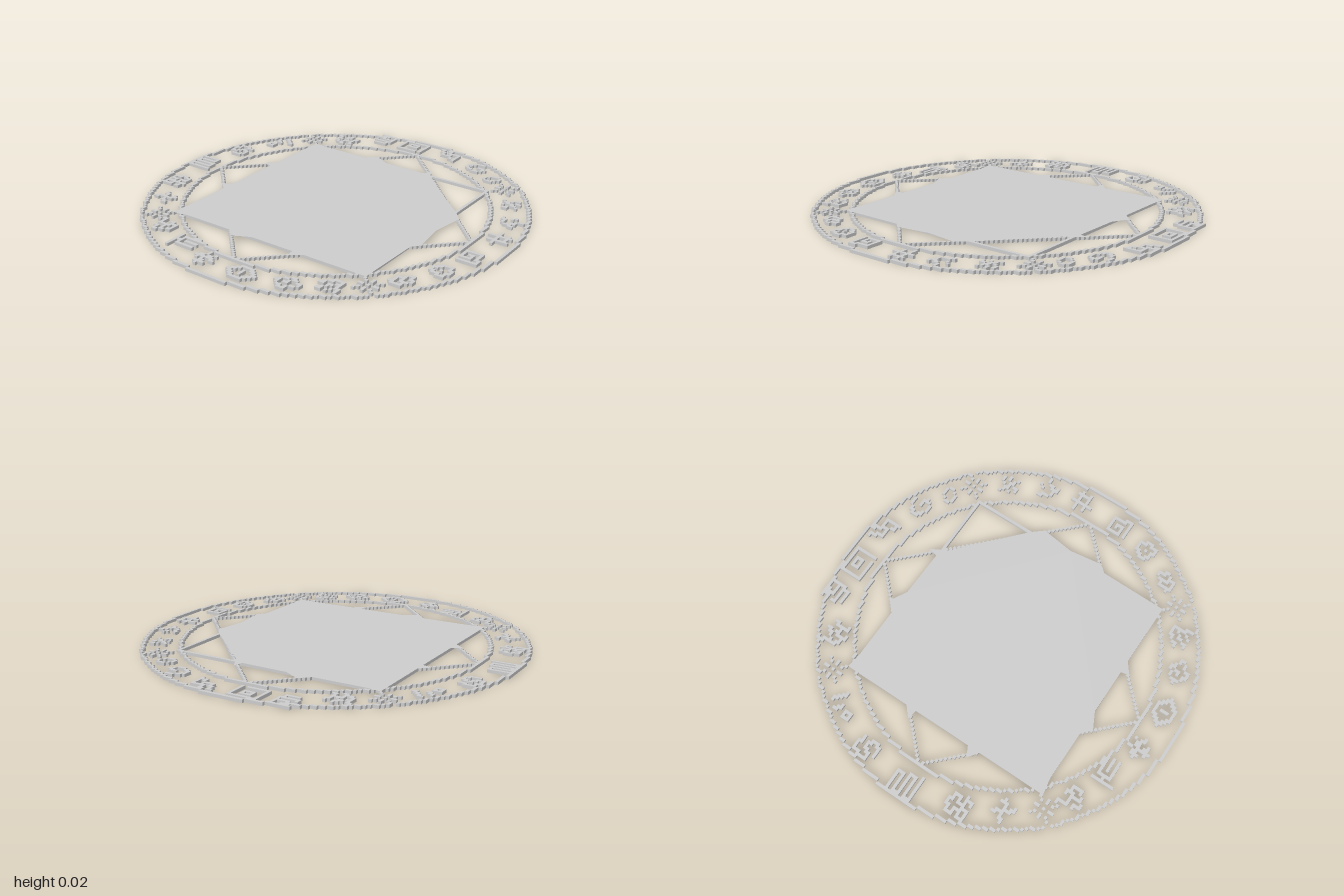
import * as THREE from 'three';
import { mergeGeometries } from 'three/addons/utils/BufferGeometryUtils.js';

const S = 0.016; // edge of one cell; the disc is 125 cells wide
const grey = new THREE.MeshStandardMaterial({ color: 0xcccccc, flatShading: true });

// One mesh of unit cells; duplicates are dropped
function cellMesh(name, cells) {
  const unique = new Map(cells.map(c => [c.join(), c]));
  const boxes = [...unique.values()].map(([i, k]) =>
    new THREE.BoxGeometry(S, S, S).translate(i * S, S / 2, k * S));
  const mesh = new THREE.Mesh(mergeGeometries(boxes), grey);
  mesh.name = name;
  return mesh;
}

// Stepped circle of cells, one cell wide
function circle(r) {
  const cells = [];
  for (let a = 0; a <= r * 0.7072; a++) {
    const b = Math.round(Math.sqrt(r * r - a * a));
    for (const s of [-1, 1]) for (const t of [-1, 1]) {
      cells.push([s * a, t * b], [s * b, t * a]);
    }
  }
  return cells;
}

// Four straight sides of the axis-aligned and of the diagonal square
function square(r) {
  const cells = [];
  for (let a = -r; a <= r; a++) cells.push([a, r], [a, -r], [r, a], [-r, a]);
  return cells;
}
function diamond(r) {
  const cells = [];
  for (let a = -r; a <= r; a++) {
    const b = r - Math.abs(a);
    cells.push([a, b], [a, -b]);
  }
  return cells;
}

// Abstract ornaments: centre cell, then rows of cells
const star = '#..#..#/.#.#.#./......./##.#.##/......./.#.#.#./#..#..#';
const marks = [
  [-5, -56, '##########/#........#/#..####..#/#..#..#..#/#..####..#/#........#/#........#/########.#'],
  [9, -56, '##.##..../.#..#..../.##.#####/..#..#..#/..####..#/......#.#/......###/........#'],
  [23, -52, '....###../..##...../.##....../.#...###./.##....##/..##...#./....###..'],
  [33, -46, '..###./.#...#/#....#/#...#./.###..'],
  [47, -31, '....##./#..#.../.##..##/..###../.#..##./...#..#/..##...'],
  [53, -19, '.....#.../.#..#..../.##....##/..#...#../..#..##../...###.../.....##..'],
  [56, -6, '...#..../...#..#./########/...#..#./...#..#./.#######/...#..../...#....'],
  [55, 9, '.######./.#....#./.#.##.#./.#..#.#./.####.##/.......#/.#######'],
  [52, 21, '...####./..##..#./.##...##/.#..#..#/.##...##/..###.#./....###.'],
  [46, 32, '....##./...#.#./.###.##/.#.#..#/.#.###./##..#../.####..'],
  [32, 46, '...####./..##..#./.#...##./##.##.#./...#..##/..#..#.#/.##.#..#'],
  [21, 52, '....##.../..##.##../.#..#..##/##.##...#/.#....##./..##.#.../...###...'],
  [7, 55, '...#####.../..##...##../.##..#..##./##...#...##/.##..#..##./..##...##../...#####...'],
  [-7, 55, '...#..../...#..#./.##.##../#######./.#.#..##/...##.../..####../...#....'],
  [-19, 51, '#......../#.#######/#.#....../###.#####/#.#....../#.#######/#......../#........'],
  [-32, 46, '##....../.#..##../.#...###/.#####.#/....#..#/.##.#.##/..#.##../..##....'],
  [-47, 30, '..#...../..##..#./...#..##/.######./##..#.../....##../.....##.'],
  [-54, 18, '...###.../.###.###./.#.....#./.###.###./...#.#.../.########/.#..#..#./.####.##.'],
  [-57, 0, '########../.......#../.#######../.#......../.########./........#./.########./.#......../.#########'],
  [-55, -16, '..####../..#..###/.##...../.#..###./.#.##.##/.###...#/......##/...####.'],
  [-48, -31, '....##.../.....##../..#...##./..##...##/...##..../.......... /.###...../.#.#...../.###.....'],
  [-30, -47, '#....#.../##..##..#/.#.##..##/.##..#.#./.#..####./.##.#..#./..###..##/....##...'],
  [-18, -56, '.#######/.......#/.###...#/...#####/.#.....#/.#######/......#./..#####.'],
  ...[[-40, -41], [40, -41], [-40, 40], [40, 40]].map(([i, k]) => [i, k, star]),
];

function markCells([ci, ck, art]) {
  const rows = art.split('/');
  const cells = [];
  rows.forEach((row, k) => [...row].forEach((c, i) => {
    if (c === '#') cells.push([ci + i - Math.floor(row.length / 2), ck + k - Math.floor(rows.length / 2)]);
  }));
  return cells;
}

// Flat sheet from x, z corners, showing upward or downward only
function sheet(name, points, y, up) {
  const shape = new THREE.Shape(points.map(([x, z]) => new THREE.Vector2(x, up ? -z : z)));
  const geo = new THREE.ShapeGeometry(shape).rotateX(up ? -Math.PI / 2 : Math.PI / 2).translate(0, y, 0);
  const mesh = new THREE.Mesh(geo, grey);
  mesh.name = name;
  return mesh;
}

export function createModel() {
  const model = new THREE.Group();
  model.name = 'ornamentalDisc';

  // Rings and the two interlocking squares
  model.add(cellMesh('outerRing', circle(62)));
  model.add(cellMesh('innerRing', circle(50)));
  model.add(cellMesh('straightSquare', square(36)));
  model.add(cellMesh('diagonalSquare', diamond(50)));

  // Ornaments between the rings
  const ornaments = new THREE.Group();
  ornaments.name = 'ornaments';
  marks.forEach(m => ornaments.add(cellMesh('ornament', markCells(m))));
  model.add(ornaments);

  // Central plate with small points where the squares cross and one open corner
  const rim = [
    [0.59, 0.585], [0.24, 0.585], [0.18, 0.63], [0.17, 0.585], [-0.08, 0.585], [-0.17, 0.63], [-0.22, 0.585],
    [-0.5, 0.585], [-0.585, 0.6], [-0.585, 0.22], [-0.64, 0.18], [-0.585, 0.15],
    [-0.585, -0.17], [-0.64, -0.18], [-0.585, -0.23], [-0.585, -0.6], [-0.5, -0.59],
    [-0.22, -0.59], [-0.17, -0.64], [-0.08, -0.59], [0.18, -0.585], [0.19, -0.64], [0.24, -0.55],
    [0.58, -0.24],
  ];
  model.add(sheet('plateTop', [...rim, [0.63, -0.18], [0.605, 0], [0.63, 0.18], [0.595, 0.22]], S + 0.0004, true));
  model.add(sheet('plateUnderside', [...rim, [0.6, -0.18], [0.59, 0], [0.57, 0.2]], 0, false));
  return model;
}
